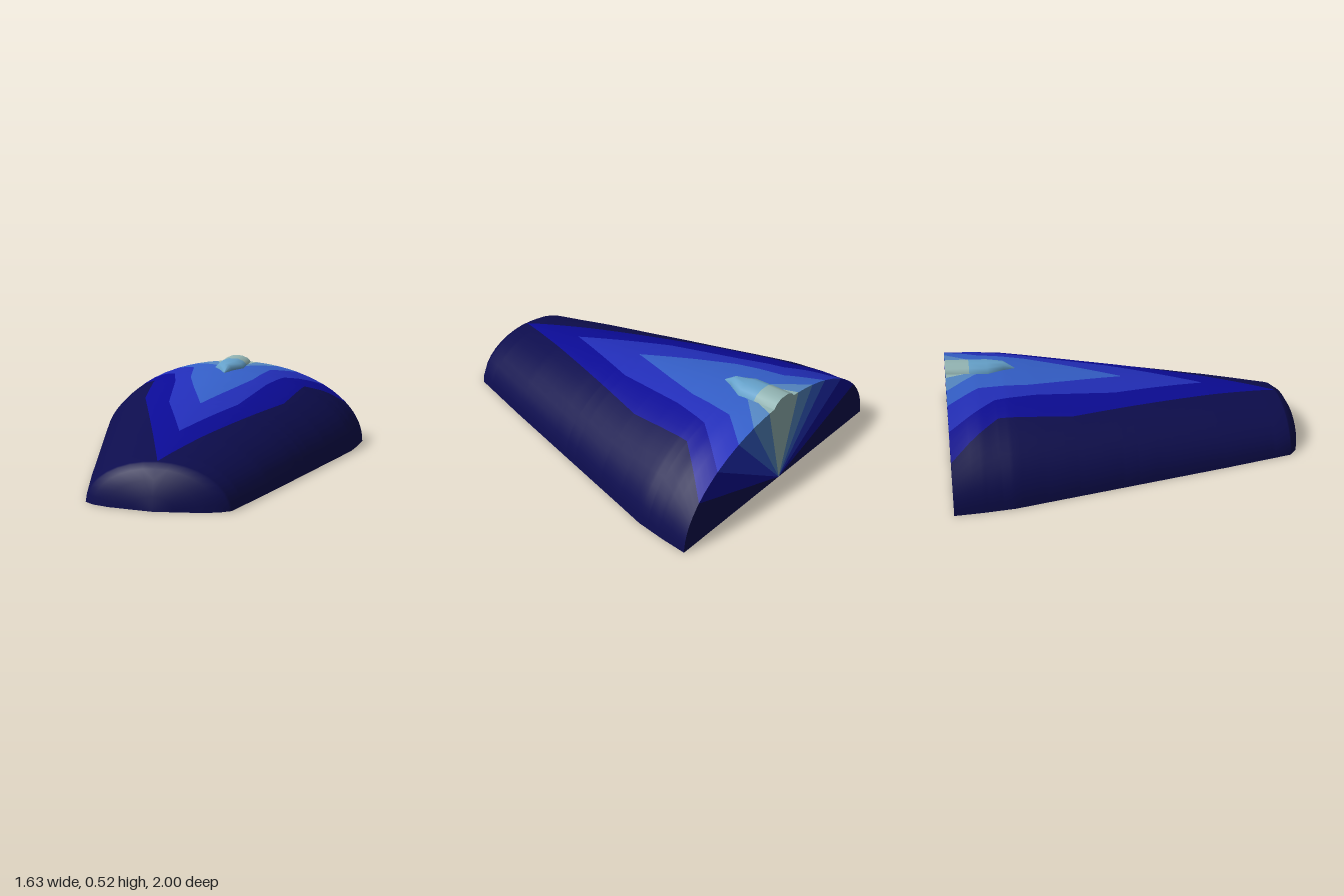
import * as THREE from 'three';
import { mergeVertices } from 'three/addons/utils/BufferGeometryUtils.js';

// Body stations: z, half width, height
const HULL = [
  [-1, 0.815, 0.488], [-0.85, 0.805, 0.484], [-0.68, 0.785, 0.472], [-0.55, 0.752, 0.456],
  [0, 0.615, 0.376], [0.5, 0.49, 0.302], [0.78, 0.415, 0.255], [0.89, 0.386, 0.235],
  [0.935, 0.33, 0.205], [0.965, 0.24, 0.155], [0.985, 0.11, 0.075], [1, 0, 0],
];

// Inner edges of the colour bands, outermost first: z, distance from the centre line
const EDGES = [
  [[-1, 0.705], [-0.74, 0.48], [-0.34, 0.425], [0.14, 0.26], [0.89, 0]],
  [[-1, 0.56], [-0.75, 0.35], [-0.52, 0.285], [-0.08, 0.205], [0.46, 0]],
  [[-1, 0.39], [-0.83, 0.245], [-0.55, 0.195], [-0.33, 0.12], [-0.01, 0]],
  [[-1, 0.265], [-0.83, 0.09], [-0.64, 0]],
  [[-1, 0.13], [-0.9, 0.09], [-0.82, 0]],
];
const STEPS = [8, 3, 2, 2, 2, 2];

// Straight-line lookup in a table sorted by its first column
function lookup(table, z, col) {
  if (z >= table[table.length - 1][0]) return table[table.length - 1][col];
  const i = Math.max(1, table.findIndex((row) => row[0] > z));
  const [a, b] = [table[i - 1], table[i]];
  return a[col] + (b[col] - a[col]) * (z - a[0]) / (b[0] - a[0]);
}

// Elliptical section: angle 0 is the side at the base, 90 degrees the ridge
function hullPoint(z, angle, side) {
  return [side * lookup(HULL, z, 1) * Math.cos(angle), lookup(HULL, z, 2) * Math.sin(angle), z];
}

// Angle of band edge k at z
function edgeAngle(k, z) {
  if (k === 0) return 0;
  if (k > EDGES.length) return Math.PI / 2;
  const x = lookup(EDGES[k - 1], z, 1);
  return x <= 0 ? Math.PI / 2 : Math.acos(Math.min(1, x / lookup(HULL, z, 1)));
}

// Triangle collector with one geometry group per colour
class Surface {
  positions = [];
  groups = [];
  tri(a, b, c, flip = false) {
    const v = [a, flip ? c : b, flip ? b : c].map((p) => new THREE.Vector3(...p));
    if (new THREE.Triangle(...v).getArea() > 1e-8) v.forEach((p) => this.positions.push(p.x, p.y, p.z));
  }
  quad(a, b, c, d, flip) {
    this.tri(a, b, c, flip);
    this.tri(a, c, d, flip);
  }
  endGroup(material, start) {
    const count = this.positions.length / 3 - start;
    if (count > 0) this.groups.push([start, count, material]);
  }
  get count() { return this.positions.length / 3; }
  build(smooth) {
    let g = new THREE.BufferGeometry();
    g.setAttribute('position', new THREE.Float32BufferAttribute(this.positions, 3));
    this.groups.forEach((group) => g.addGroup(...group));
    if (smooth) g = mergeVertices(g, 1e-5);
    g.computeVertexNormals();
    return g;
  }
}

function createModel() {
  const model = new THREE.Group();
  const mat = (name, color) => {
    const m = new THREE.MeshStandardMaterial({ color });
    m.name = name;
    return m;
  };
  const bands = [
    mat('navy', 0x0d0d4e), mat('deepBlue', 0x0b0b96), mat('royalBlue', 0x222eba),
    mat('midBlue', 0x345fc9), mat('steelBlue', 0x5587c3), mat('greyGreen', 0x93b5b4),
  ];
  const paleBlue = mat('paleBlue', 0x66a2cb);
  const add = (name, geometry, material) => {
    const mesh = new THREE.Mesh(geometry, material);
    mesh.name = name;
    model.add(mesh);
  };

  // All stations needed so that every kink falls on a row of vertices
  const zs = [...new Set([...HULL, ...EDGES.flat()].map((row) => row[0])
    .concat(Array.from({ length: 19 }, (_, i) => Math.round(i - 9) / 10)))].sort((a, b) => a - b);

  // Curved shell, band by band, and the flat fan closing the back
  const shell = new Surface();
  const fan = new Surface();
  STEPS.forEach((steps, k) => {
    const shellStart = shell.count;
    const fanStart = fan.count;
    for (const side of [1, -1]) {
      const at = (z, s) => hullPoint(z,
        THREE.MathUtils.lerp(edgeAngle(k, z), edgeAngle(k + 1, z), s / steps), side);
      for (let s = 0; s < steps; s++) {
        for (let i = 0; i < zs.length - 1; i++) {
          const [z0, z1] = [zs[i], zs[i + 1]];
          shell.quad(at(z0, s), at(z0, s + 1), at(z1, s + 1), at(z1, s), side < 0);
        }
        fan.tri([0, 0, -1], at(-1, s + 1), at(-1, s), side < 0);
      }
    }
    shell.endGroup(k, shellStart);
    fan.endGroup(k, fanStart);
  });
  add('bodyShell', shell.build(true), bands);
  add('backPanel', fan.build(false), bands);

  // Flat underside
  const base = new Surface();
  for (let i = 0; i < zs.length - 1; i++) {
    const [z0, z1] = [zs[i], zs[i + 1]];
    base.quad(hullPoint(z0, 0, -1), hullPoint(z0, 0, 1), hullPoint(z1, 0, 1), hullPoint(z1, 0, -1));
  }
  add('underside', base.build(false), bands[0]);

  // Raised ridge on top: z, width factor, top height
  const ridge = [[-1, 1, 0.523], [-0.87, 1, 0.52], [-0.77, 1, 0.515], [-0.68, 0.4, 0.508], [-0.615, 0.02, 0.466]];
  const section = [[0.092, 0], [0.09, 0.45], [0.068, 0.78], [0.03, 1], [-0.03, 1], [-0.068, 0.78], [-0.09, 0.45], [-0.092, 0]];
  const floor = 0.45;
  const ring = ([z, w, top]) => section.map(([x, t]) => [x * w, floor + (top - floor) * t, z]);
  const spine = new Surface();
  ridge.slice(1).forEach((row, i) => {
    const start = spine.count;
    const [a, b] = [ring(ridge[i]), ring(row)];
    for (let j = 0; j < section.length - 1; j++) spine.quad(a[j], a[j + 1], b[j + 1], b[j]);
    spine.endGroup(i === 0 ? 0 : 1, start);
  });
  add('topRidge', spine.build(true), [bands[5], paleBlue]);

  // Back end of the ridge
  const cap = new Surface();
  const end = ring(ridge[0]);
  for (let j = 1; j < end.length - 1; j++) cap.tri(end[0], end[j + 1], end[j]);
  add('ridgeEnd', cap.build(false), bands[5]);

  return model;
}

export { createModel };
